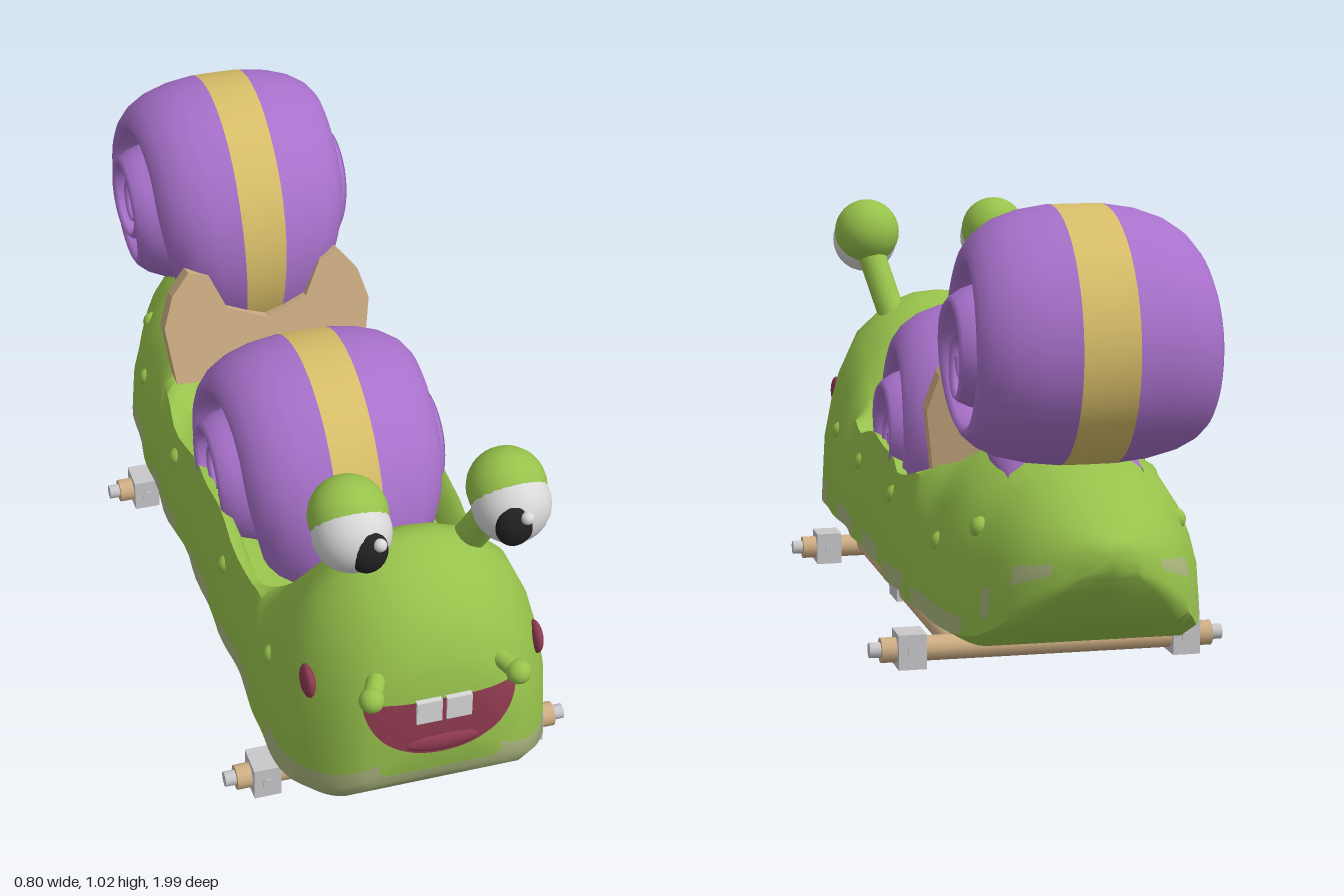
import * as THREE from 'three';
import { toCreasedNormals } from 'three/addons/utils/BufferGeometryUtils.js';

const mat = (name, color, side = THREE.FrontSide) =>
  Object.assign(new THREE.MeshStandardMaterial({ color, side }), { name });

export function createModel() {
  const D = THREE.DoubleSide;
  const green = mat('slug green', 0x97c24b, D), pale = mat('pale belly green', 0xaab67e, D);
  const purple = mat('shell purple', 0xa871cb, D), yellow = mat('stripe yellow', 0xd8be69, D);
  const wood = mat('wood', 0xceae84), metal = mat('metal grey', 0xc8c8cb);
  const white = mat('eye white', 0xd8d8d8), black = mat('pupil black', 0x222222);
  const maroon = mat('mouth maroon', 0x8f3a50, D);
  const root = new THREE.Group();

  const add = (name, geo, material, x = 0, y = 0, z = 0, parent = root) => {
    const m = new THREE.Mesh(geo, material);
    m.name = name;
    m.position.set(x, y, z);
    parent.add(m);
    return m;
  };
  const box = (name, material, w, h, d, x, y, z) => add(name, new THREE.BoxGeometry(w, h, d), material, x, y, z);
  const ball = (name, material, r, x, y, z) => add(name, new THREE.SphereGeometry(r, 24, 16), material, x, y, z);
  const rod = (name, material, r, a, b, sides = 16) => {
    const A = new THREE.Vector3(...a), B = new THREE.Vector3(...b);
    const m = add(name, new THREE.CylinderGeometry(r, r, A.distanceTo(B), sides), material);
    m.position.copy(A).add(B).multiplyScalar(0.5);
    m.quaternion.setFromUnitVectors(new THREE.Vector3(0, 1, 0), B.sub(A).normalize());
    return m;
  };

  // Skin a list of equal-length cross-sections; paint(y, z) picks the colour group
  const loft = (rings, closed, paint) => {
    const n = rings[0].length, lists = [[], []];
    for (let i = 0; i < rings.length - 1; i++) {
      for (let j = 0; j < (closed ? n : n - 1); j++) {
        const k = (j + 1) % n, a = i * n + j, b = i * n + k;
        const p = rings[i][j], q = rings[i + 1][k];
        const list = lists[paint ? paint((p[1] + q[1]) / 2, (p[2] + q[2]) / 2) : 0];
        list.push(a, b, b + n, a, b + n, a + n);
      }
    }
    const g = new THREE.BufferGeometry();
    g.setAttribute('position', new THREE.Float32BufferAttribute(rings.flat(2), 3));
    g.setIndex([...lists[0], ...lists[1]]);
    g.addGroup(0, lists[0].length, 0);
    g.addGroup(lists[0].length, lists[1].length, 1);
    g.computeVertexNormals();
    return g;
  };

  // Body: stations of [z, bottom, top, half width, cockpit amount]
  const stations = [
    [-0.995, 0.31, 0.37, 0.05, 0], [-0.96, 0.255, 0.395, 0.12, 0], [-0.89, 0.18, 0.44, 0.19, 0],
    [-0.78, 0.12, 0.485, 0.245, 0], [-0.64, 0.115, 0.51, 0.285, 0], [-0.48, 0.115, 0.515, 0.3, 0],
    [-0.36, 0.115, 0.46, 0.305, 0.6], [-0.22, 0.115, 0.385, 0.31, 1], [-0.02, 0.115, 0.4, 0.3, 1],
    [0.17, 0.115, 0.42, 0.305, 1], [0.38, 0.115, 0.385, 0.3, 1], [0.46, 0.115, 0.42, 0.3, 0.8],
    [0.53, 0.115, 0.51, 0.3, 0.2], [0.62, 0.115, 0.625, 0.307, 0], [0.72, 0.115, 0.695, 0.308, 0],
    [0.82, 0.12, 0.665, 0.283, 0], [0.895, 0.15, 0.6, 0.24, 0], [0.938, 0.195, 0.52, 0.187, 0],
    [0.954, 0.235, 0.455, 0.135, 0],
  ];
  const domed = [[0, 0], [0.87, 0], [1.01, 0.06], [1, 0.16], [0.98, 0.35], [0.92, 0.51], [0.85, 0.64], [0.69, 0.82],
    [0.43, 0.945], [0.2, 0.99], [0, 1]];
  const hollow = [[0, 0], [0.87, 0], [1.01, 0.09], [1.01, 0.25], [0.99, 0.5], [0.95, 0.8], [0.9, 1], [0.82, 0.96],
    [0.75, 0.74], [0.4, 0.7], [0, 0.7]];
  const spline = new THREE.CubicInterpolant(stations.map((s, i) => i), stations.flat(), 5);
  const rings = [];
  for (let t = 0; t <= stations.length - 1; t += 0.25) {
    const [z, yb, yt, w, amount] = Array.from(spline.evaluate(t));
    const c = Math.min(1, Math.max(0, amount));
    const ww = w * (1 + 0.012 * Math.sin(z * 26));
    const half = domed.map(([x, f], k) => [
      ww * (x + (hollow[k][0] - x) * c), yb + (yt - yb) * (f + (hollow[k][1] - f) * c), z]);
    rings.push([...half, ...half.slice(1, -1).reverse().map(([x, y, q]) => [-x, y, q])]);
  }
  const point = (x, y, z) => rings[0].map(() => [x, y, z]);
  rings.unshift(point(0, 0.34, -1));
  rings.push(point(0, 0.345, 0.959));
  // Pale skirt: wide at the chin, patchy along the flanks, rising with the tail
  const belly = (y, z) => {
    const chin = Math.max(0, z - 0.72) * 0.45, tail = Math.max(0, -z - 0.72);
    return y > 0.135 + tail * 0.75 && y < 0.175 + chin + tail * 0.6 + 0.025 * Math.sin(z * 19) ? 1 : 0;
  };
  const body = add('body', toCreasedNormals(loft(rings, true, belly), 0.85), [green, pale]);

  // Find a spot on the body surface
  const ray = new THREE.Raycaster();
  const hit = (from, dir) => {
    ray.set(new THREE.Vector3(...from), new THREE.Vector3(...dir));
    const h = ray.intersectObject(body)[0];
    return h ? h.point : new THREE.Vector3(from[0], from[1], 0.9);
  };
  const frontZ = (x, y) => hit([x, y, 3], [0, 0, -1]).z;
  const drape = (geo, lift) => {
    const p = geo.attributes.position;
    for (let i = 0; i < p.count; i++) p.setZ(i, frontZ(p.getX(i), p.getY(i)) + lift);
    geo.computeVertexNormals();
    return geo;
  };

  // Mouth, tongue and teeth
  add('mouth', drape(new THREE.RingGeometry(0.001, 1, 32, 10, Math.PI, Math.PI).scale(0.17, 0.145, 1).translate(0, 0.43, 0), 0.006), maroon);
  ball('tongue', maroon, 1, 0, 0.314, frontZ(0, 0.314)).scale.set(0.085, 0.024, 0.015);
  for (const s of [-1, 1]) box('tooth', white, 0.056, 0.055, 0.02, s * 0.033, 0.404, frontZ(0.03, 0.404) + 0.002);

  for (const s of [-1, 1]) {
    // Eyes on stalks
    rod('eyeStalk', green, 0.036, [s * 0.12, 0.62, 0.71], [s * 0.166, 0.8, 0.81]);
    ball('eyelid', green, 0.084, s * 0.17, 0.844, 0.823);
    ball('eyeball', white, 0.083, s * 0.171, 0.821, 0.852);
    ball('pupil', black, 1, s * 0.156, 0.814, 0.914).scale.set(0.042, 0.05, 0.028);
    ball('eyeGlint', white, 0.014, s * 0.156 + 0.018, 0.842, 0.936);
    // Feelers and cheeks
    rod('feeler', green, 0.021, [s * 0.115, 0.485, 0.88], [s * 0.155, 0.47, 0.955]);
    ball('feelerTip', green, 0.027, s * 0.161, 0.468, 0.967);
    const cheek = hit([s * 2, 0.425, 0.82], [-s, 0, 0]);
    ball('cheek', maroon, 0.037, cheek.x, cheek.y, cheek.z).scale.x = 0.4;
    // Warts along the flanks
    for (const [z, y] of [[0.63, 0.35], [0.27, 0.33], [-0.17, 0.33], [-0.57, 0.3], [-0.73, 0.36]]) {
      const p = hit([s * 2, y, z], [-s, 0, 0]);
      ball('wart', green, 0.024, p.x - s * 0.013, p.y, p.z);
    }
  }

  // Coiled shells: a barrel-shaped section swept along a shrinking spiral
  const side = [[0.23, 0.998], [0.5, 0.965], [0.72, 0.905], [0.88, 0.82], [0.97, 0.73], [1, 0.67], [0.96, 0.62],
    [0.84, 0.59], [0.6, 0.525], [0, 0.52]];
  const step = THREE.MathUtils.smoothstep;
  const coil = (section) => {
    const out = [];
    for (let i = 0; i <= 150; i++) {
      const a = -1.5 + (i / 150) * 20.2, r = 0.355 * Math.exp(-0.095 * a);
      const w = 0.15 + 0.085 * step(a, -1.5, 0.5) + 0.022 * step(a, 0.5, 3) + 0.019 * step(a, 4.5, 7) - 0.02 * step(a, 9, 14);
      out.push(section.map(([x, f]) => [x * w, r * f * Math.sin(a), r * f * Math.cos(a)]));
    }
    return loft(out, false);
  };
  const flank = coil(side), flankMirror = coil(side.map(([x, f]) => [-x, f]).reverse());
  const stripe = coil([[-0.23, 0.998], [0, 1], [0.23, 0.998]]);
  for (const [name, y, z] of [['frontShell', 0.435, 0.05], ['rearShell', 0.72, -0.73]]) {
    const shell = new THREE.Group();
    shell.name = name;
    shell.position.set(0, y, z);
    root.add(shell);
    add('shellLeft', flank, purple, 0, 0, 0, shell);
    add('shellRight', flankMirror, purple, 0, 0, 0, shell);
    add('shellStripe', stripe, yellow, 0, 0, 0, shell);
  }

  // Backrest with a notch for the rear shell, seat board and grip
  const rest = new THREE.Shape();
  rest.moveTo(-0.24, 0);
  for (const [x, y] of [[0.24, 0], [0.26, 0.15], [0.235, 0.23], [0.19, 0.285], [0.14, 0.27], [0.1, 0.18], [0, 0.14],
    [-0.1, 0.18], [-0.14, 0.27], [-0.19, 0.285], [-0.235, 0.23], [-0.26, 0.15]]) rest.lineTo(x, y);
  const backrest = add('backrest', new THREE.ExtrudeGeometry(rest, { depth: 0.045, bevelEnabled: false }), wood, 0, 0.41, -0.385);
  backrest.rotation.x = -0.2;
  box('seatBoard', wood, 0.39, 0.04, 0.12, 0, 0.33, -0.21);
  rod('grip', metal, 0.022, [0, 0.37, 0.38], [0, 0.38, 0.49]);

  // Undercarriage: axle beams, hubs, rails and rods
  for (const z of [0.66, -0.46]) {
    rod('axleBeam', wood, 0.028, [-0.375, 0.042, z], [0.375, 0.042, z]);
    for (const s of [-1, 1]) {
      box('axleBlock', metal, 0.062, 0.078, 0.078, s * 0.31, 0.043, z);
      rod('axleEnd', metal, 0.017, [s * 0.37, 0.043, z], [s * 0.4, 0.043, z]);
      for (const e of [-1, 1]) rod('blockBolt', metal, 0.012, [s * 0.31, 0.043, z], [s * 0.31, 0.043, z + e * 0.043], 6);
      box('bracket', metal, 0.036, 0.06, 0.012, s * 0.135, 0.088, z + 0.033);
      rod('bracketBolt', metal, 0.011, [s * 0.135, 0.085, z + 0.03], [s * 0.135, 0.085, z + 0.044], 6);
    }
  }
  for (const s of [-1, 1]) {
    rod('rail', wood, 0.021, [s * 0.215, 0.05, 0.65], [s * 0.215, 0.05, -0.45]);
    box('railClamp', metal, 0.052, 0.052, 0.1, s * 0.215, 0.054, 0.1);
    rod('crossRod', metal, 0.009, [s * 0.08, 0.045, 0.65], [s * 0.08, 0.045, -0.45], 10);
  }
  return root;
}
